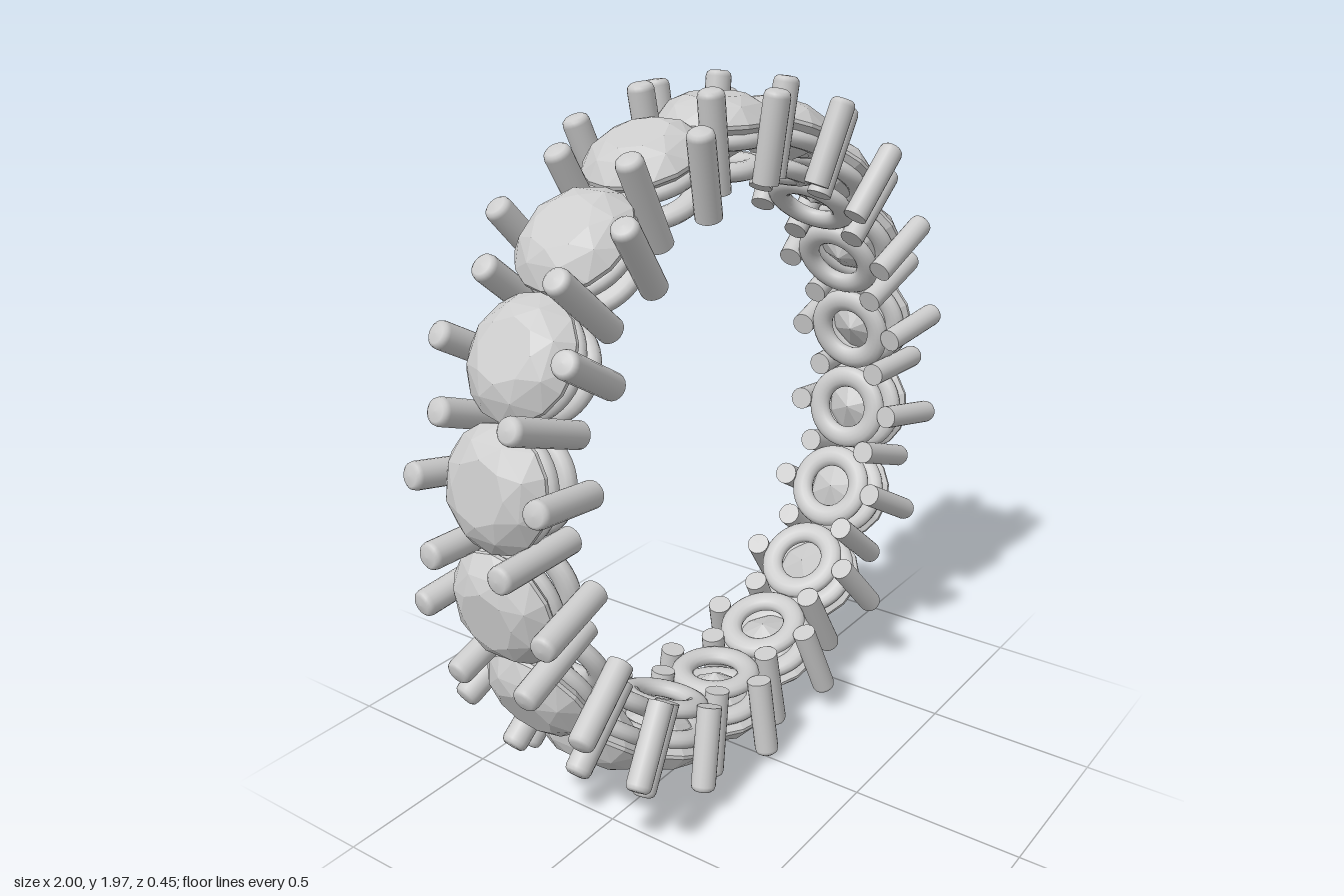
import * as THREE from 'three';
import { ConvexGeometry } from 'three/addons/geometries/ConvexGeometry.js';

const COUNT = 18;
const STEP = (Math.PI * 2) / COUNT;
const CENTRE_Y = 0.99;

// Round brilliant: table, crown, girdle and pavilion, axis along +y
function gemGeometry() {
  const points = [];
  const ring = (radius, y, sides, turn = 0) => {
    for (let i = 0; i < sides; i++) {
      const a = ((i + turn) / sides) * Math.PI * 2;
      points.push(new THREE.Vector3(radius * Math.cos(a), y, radius * Math.sin(a)));
    }
  };
  ring(0.08, 0.066, 8);
  ring(0.122, 0.046, 8, 0.5);
  ring(0.156, 0.005, 16);
  ring(0.156, -0.005, 16);
  ring(0.085, -0.068, 8, 0.5);
  points.push(new THREE.Vector3(0, -0.12, 0));
  return new ConvexGeometry(points);
}

// Round post with a softened outer tip, standing from y = 0
function prongGeometry(length, radius) {
  const profile = [
    [0, 0], [radius, 0], [radius, 0], [radius, length - 0.018], [radius * 0.92, length - 0.008],
    [radius * 0.7, length - 0.002], [0, length],
  ].map(([x, y]) => new THREE.Vector2(x, y));
  return new THREE.LatheGeometry(profile, 20);
}

// Flattened collar around the stone's axis
function collarGeometry(radius, tube, height) {
  return new THREE.TorusGeometry(radius, tube, 14, 40)
    .rotateX(Math.PI / 2)
    .scale(1, height / tube, 1);
}

export function createModel() {
  const model = new THREE.Group();
  model.name = 'eternityRing';
  const material = new THREE.MeshStandardMaterial({ color: 0xcccccc });
  const gemMaterial = new THREE.MeshStandardMaterial({ color: 0xcccccc, flatShading: true });

  const gem = gemGeometry();
  const upperCollar = collarGeometry(0.118, 0.032, 0.024);
  const lowerCollar = collarGeometry(0.1, 0.034, 0.025);
  const sideProng = prongGeometry(0.24, 0.035);
  const sharedProng = prongGeometry(0.264, 0.035);

  const add = (parent, name, geometry, mat, y, z = 0, tilt = 0) => {
    const mesh = new THREE.Mesh(geometry, mat);
    mesh.name = name;
    mesh.position.set(0, y, z);
    mesh.rotation.x = tilt;
    parent.add(mesh);
  };

  for (let i = 0; i < COUNT; i++) {
    // Stone in its basket, with one prong on each face of the band
    const setting = new THREE.Group();
    setting.name = 'setting';
    setting.position.y = CENTRE_Y;
    setting.rotation.z = -i * STEP;
    add(setting, 'gem', gem, gemMaterial, 0.882);
    add(setting, 'upperCollar', upperCollar, material, 0.843);
    add(setting, 'lowerCollar', lowerCollar, material, 0.762);

    // Prongs shared with the next stone
    const joint = new THREE.Group();
    joint.name = 'sharedProngs';
    joint.position.y = CENTRE_Y;
    joint.rotation.z = -(i + 0.5) * STEP;
    for (const side of [-1, 1]) {
      add(setting, 'sideProng', sideProng, material, 0.735, side * 0.158, side * 0.14);
      add(joint, 'sharedProng', sharedProng, material, 0.736, side * 0.098, side * 0.04);
    }
    model.add(setting, joint);
  }
  return model;
}
